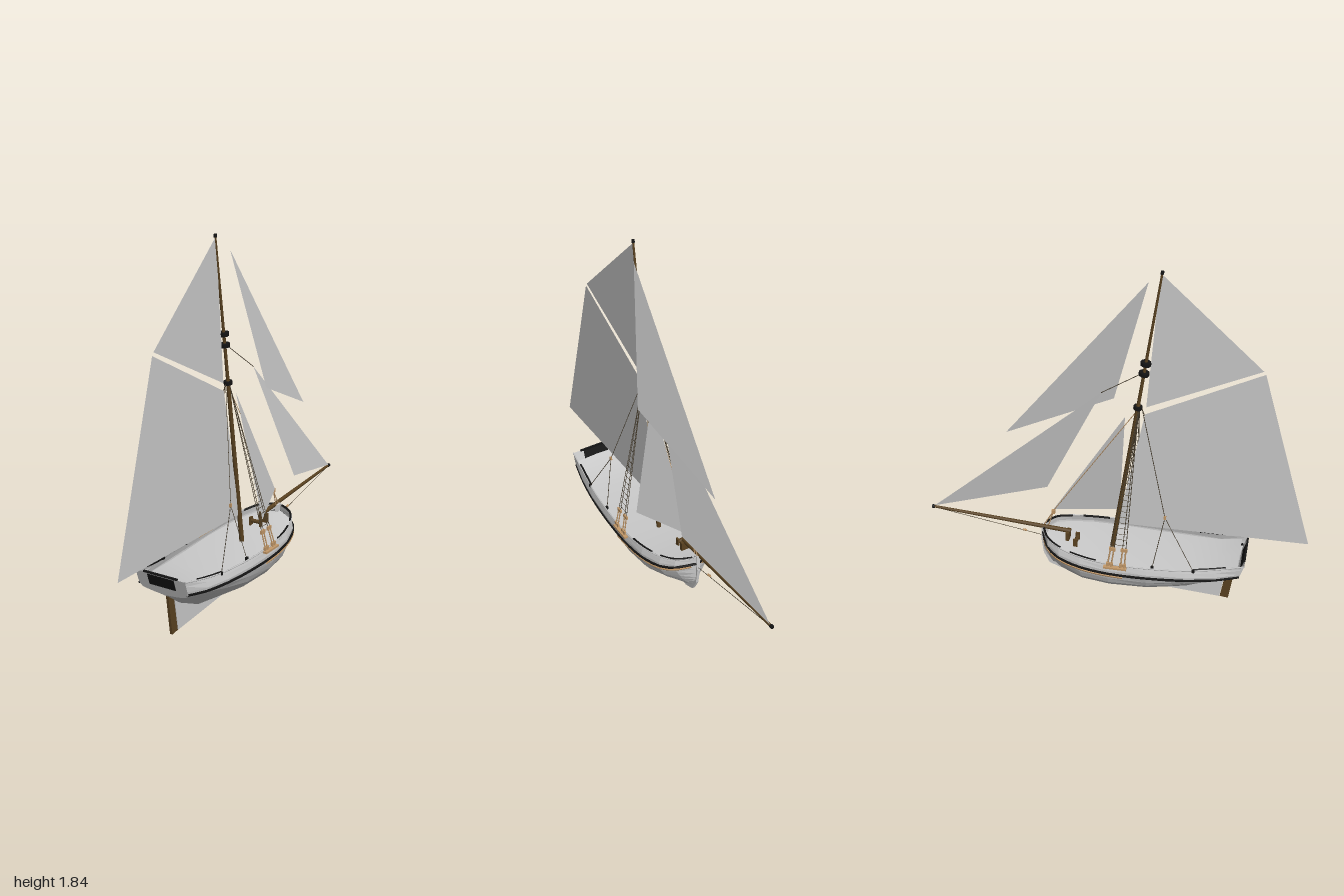
import * as THREE from 'three';

const V = (x, y, z) => new THREE.Vector3(x, y, z);
const mat = (color, extra = {}) => new THREE.MeshStandardMaterial({ color, side: THREE.DoubleSide, ...extra });
const GREY = mat(0xcccccc), FACET = mat(0xcccccc, { flatShading: true });
const WOOD = mat(0x5a4220), TAN = mat(0xc49a6a), BLACK = mat(0x141414), ROPE = mat(0x4a4030);

// Hull stations, stern to bow: z, bottom y, bilge x y, wale x y, rail x y
const STATIONS = [
  [0.66, 0.225, 0.09, 0.235, 0.135, 0.255, 0.14, 0.335],
  [0.55, 0.14, 0.08, 0.18, 0.16, 0.235, 0.155, 0.305],
  [0.4, 0.07, 0.11, 0.14, 0.182, 0.225, 0.175, 0.29],
  [0.2, 0.05, 0.14, 0.12, 0.197, 0.22, 0.19, 0.285],
  [0, 0.055, 0.15, 0.12, 0.2, 0.222, 0.195, 0.29],
  [-0.15, 0.065, 0.14, 0.13, 0.19, 0.235, 0.18, 0.3],
  [-0.27, 0.08, 0.1, 0.15, 0.155, 0.25, 0.145, 0.315],
  [-0.34, 0.1, 0.055, 0.17, 0.105, 0.27, 0.1, 0.33],
  [-0.39, 0.17, 0.006, 0.2, 0.008, 0.29, 0.01, 0.34],
];
const rake = (i, t) => (i === 0 ? 0.035 * t : 0);

function add(parent, name, geometry, material) {
  const m = new THREE.Mesh(geometry, material);
  m.name = name;
  parent.add(m);
  return m;
}

function box(parent, name, size, pos, material) {
  const m = add(parent, name, new THREE.BoxGeometry(...size), material);
  m.position.set(...pos);
  return m;
}

// Straight spar or rope between two points
function rod(parent, name, a, b, r0, r1, material, sides = 4) {
  const d = b.clone().sub(a);
  const m = add(parent, name, new THREE.CylinderGeometry(r1, r0, d.length(), sides), material);
  m.position.copy(a).add(b).multiplyScalar(0.5);
  m.quaternion.setFromUnitVectors(V(0, 1, 0), d.normalize());
  return m;
}

// Surface through rows of points of equal length
function loft(rows) {
  const n = rows[0].length, index = [];
  for (let i = 0; i < rows.length - 1; i++)
    for (let j = 0; j < n - 1; j++) {
      const a = i * n + j, b = a + n;
      index.push(a, b, a + 1, a + 1, b, b + 1);
    }
  const g = new THREE.BufferGeometry().setFromPoints(rows.flat());
  g.setIndex(index);
  g.computeVertexNormals();
  return g;
}

// Flat plate in the z-y plane
function plate(parent, name, outline, thick, material) {
  const shape = new THREE.Shape(outline.map(([z, y]) => new THREE.Vector2(-z, y)));
  const g = new THREE.ExtrudeGeometry(shape, { depth: thick, bevelEnabled: false });
  g.translate(0, 0, -thick / 2);
  g.rotateY(Math.PI / 2);
  return add(parent, name, g, material);
}

// Rubbing strip along a level of the hull, u running from stern to bow
function strip(parent, name, side, col, dx, dy, u0, u1, r, material) {
  const line = new THREE.CatmullRomCurve3(STATIONS.map((s, i) =>
    V(side * (s[col] + dx), s[col + 1] + dy, s[0] + rake(i, col === 6 ? 1 : 0.35))));
  const pts = Array.from({ length: 17 }, (_, i) => line.getPoint(u0 + (u1 - u0) * i / 16));
  add(parent, name, new THREE.TubeGeometry(new THREE.CatmullRomCurve3(pts), 24, r, 5), material);
}

function buildHull(ship) {
  const hull = new THREE.Group();
  hull.name = 'hull';
  ship.add(hull);
  // Half section of each station, mirrored into a full girth
  const rows = STATIONS.map(([z, ky, bx, by, wx, wy, rx, ry], i) => {
    const half = new THREE.SplineCurve([[0.003, ky], [bx, by], [wx, wy], [rx, ry]]
      .map(p => new THREE.Vector2(...p))).getPoints(9);
    const right = half.map(p => V(p.x, p.y, z + rake(i, (p.y - ky) / (ry - ky))));
    return [...right.map(p => V(-p.x, p.y, p.z)).reverse(), ...right];
  });
  add(hull, 'planking', loft(rows), FACET);
  // Transom closes the stern by joining the mirrored halves
  const n = rows[0].length;
  add(hull, 'transom', loft(rows[0].slice(0, n / 2).map((p, j) => [p, rows[0][n - 1 - j]])), FACET);
  const panel = box(hull, 'transomPanel', [0.15, 0.06, 0.006], [0, 0.3, 0.683], BLACK);
  panel.rotation.x = 0.3;
  add(hull, 'deck', loft(STATIONS.map(s =>
    [V(-s[6], s[7] - 0.04, s[0]), V(0, s[7] - 0.033, s[0]), V(s[6], s[7] - 0.04, s[0])])), GREY);
  plate(hull, 'keelAndStem', [[0.57, 0.01], [0.6, 0.22], [0.5, 0.18], [0.2, 0.08], [-0.25, 0.11], [-0.34, 0.18],
    [-0.37, 0.34], [-0.395, 0.345], [-0.4, 0.25], [-0.39, 0.16], [-0.36, 0.095], [-0.3, 0.07]], 0.016, GREY);
  plate(hull, 'rudder', [[0.617, 0.005], [0.645, 0.225], [0.605, 0.225], [0.573, 0.01]], 0.014, WOOD);
  for (const side of [-1, 1]) {
    strip(hull, 'wale', side, 4, 0.001, 0.008, 0, 1, 0.007, BLACK);
    strip(hull, 'lowerWale', side, 4, 0, -0.005, 0.45, 0.97, 0.007, TAN);
    strip(hull, 'rail', side, 6, 0, 0, 0, 1, 0.004, GREY);
    strip(hull, 'sternRail', side, 6, -0.006, 0.002, 0.08, 0.22, 0.006, BLACK);
    strip(hull, 'bowRail', side, 6, -0.006, 0.002, 0.55, 0.68, 0.006, BLACK);
    strip(hull, 'bowRail', side, 6, -0.006, 0.002, 0.74, 0.97, 0.006, BLACK);
    box(hull, 'channel', [0.028, 0.01, 0.12], [side * 0.202, 0.278, 0.04], TAN);
  }
  box(hull, 'taffrail', [0.19, 0.008, 0.01], [0, 0.337, 0.692], BLACK);
  // Deck gear near the bow
  const drum = add(hull, 'windlass', new THREE.CylinderGeometry(0.011, 0.011, 0.07, 8), WOOD);
  drum.rotation.z = Math.PI / 2;
  drum.position.set(-0.03, 0.295, -0.2);
  for (const x of [-0.06, 0]) box(hull, 'windlassPost', [0.01, 0.05, 0.022], [x, 0.29, -0.2], WOOD);
  box(hull, 'bowspritBitt', [0.05, 0.05, 0.018], [-0.013, 0.305, -0.25], WOOD);
}

function buildSpars(ship) {
  const spars = new THREE.Group();
  spars.name = 'spars';
  ship.add(spars);
  const mastAt = y => V(0, y, -0.01 + (y - 0.27) * 0.145);
  rod(spars, 'lowerMast', mastAt(0.25), mastAt(1.14), 0.013, 0.01, WOOD, 10);
  rod(spars, 'topmast', mastAt(1.1), mastAt(1.84), 0.009, 0.005, WOOD, 8);
  rod(spars, 'mastTruck', mastAt(1.83), mastAt(1.845), 0.008, 0.008, BLACK, 8);
  for (const [y, r] of [[1.125, 0.022], [1.315, 0.026], [1.37, 0.026]])
    rod(spars, 'mastBand', mastAt(y - 0.009), mastAt(y + 0.009), r, r, BLACK, 10);
  rod(spars, 'bowsprit', V(-0.013, 0.33, -0.235), V(-0.013, 0.385, -0.995), 0.012, 0.007, WOOD, 8);
  rod(spars, 'bowspritCap', V(-0.013, 0.384, -0.985), V(-0.013, 0.385, -1), 0.01, 0.01, BLACK, 8);
}

function buildSails(ship) {
  const sail = (name, pts) => {
    const g = new THREE.BufferGeometry().setFromPoints(pts.map(p => V(...p)));
    g.setIndex(pts.length === 4 ? [0, 1, 2, 0, 2, 3] : [0, 1, 2]);
    g.computeVertexNormals();
    add(ship, name, g, GREY);
  };
  sail('mainSail', [[0, 0.42, 1], [0, 0.41, 0.015], [0, 1.09, 0.15], [0, 1.37, 0.715]]);
  sail('topSail', [[0, 1.385, 0.705], [0, 1.13, 0.155], [0, 1.835, 0.21]]);
  sail('staySail', [[0.13, 0.405, 0], [0.01, 0.445, -0.33], [0.005, 1.06, 0.05]]);
  sail('jib', [[0.095, 0.52, -0.385], [-0.01, 0.39, -0.985], [0.03, 1.17, -0.073]]);
  sail('flyingJib', [[0.13, 1.085, -0.03], [0.04, 0.875, -0.575], [0.037, 1.77, 0.15]]);
}

function buildRigging(ship) {
  const rig = new THREE.Group();
  rig.name = 'rigging';
  ship.add(rig);
  const rope = (name, a, b, r = 0.0018, m = ROPE) => rod(rig, name, a, b, r, r, m);
  const head = V(0, 1.12, 0.12);
  rope('forestay', head, V(0, 0.44, -0.33), 0.002, TAN);
  rope('jibHalyard', V(0, 1.32, 0.14), V(0.03, 1.17, -0.073));
  rope('bobstay', V(-0.013, 0.38, -0.985), V(0, 0.27, -0.39));
  rod(rig, 'bobstayBlock', V(-0.003, 0.291, -0.48), V(-0.004, 0.295, -0.5), 0.006, 0.006, TAN, 6);
  box(rig, 'forestayBlock', [0.014, 0.022, 0.018], [0, 0.435, -0.33], TAN);
  for (const z of [-0.36, -0.385]) rope('forestayLanyard', V(0, 0.435, -0.33), V(0, 0.34, z), 0.003, TAN);

  for (const side of [-1, 1]) {
    // Shrouds with deadeyes, lanyards and ratlines
    const top = V(side * 0.012, 1.12, 0.12);
    const feet = [0.09, 0.07, 0.02, 0].map(z => V(side * 0.206, 0.28, z));
    for (const foot of feet) {
      rope('shroud', foot, top);
      rope('lanyard', foot, foot.clone().lerp(top, 0.13), 0.004, TAN);
      for (const t of [0.02, 0.12]) {
        const p = foot.clone().lerp(top, t);
        box(rig, 'deadeye', [0.01, 0.018, 0.016], [p.x, p.y, p.z], TAN);
      }
    }
    for (let i = 0; i < 22; i++) {
      const pts = feet.map(f => f.clone().lerp(top, 0.15 + i * 0.036));
      for (let j = 0; j < 3; j++) rope('ratline', pts[j], pts[j + 1], 0.0014);
    }
    // Running backstay splitting to two rail points
    const block = V(side * 0.12, 0.57, 0.28);
    rope('backstay', V(0, 1.12, 0.135), block);
    box(rig, 'backstayBlock', [0.009, 0.018, 0.012], block.toArray(), TAN);
    for (const end of [V(side * 0.18, 0.29, 0.23), V(side * 0.17, 0.29, 0.44)]) {
      rope('backstayTackle', block, end);
      box(rig, 'railCleat', [0.01, 0.016, 0.014], end.toArray(), BLACK);
    }
  }
}

export function createModel() {
  const ship = new THREE.Group();
  ship.name = 'sailingShip';
  buildHull(ship);
  buildSpars(ship);
  buildSails(ship);
  buildRigging(ship);
  return ship;
}
